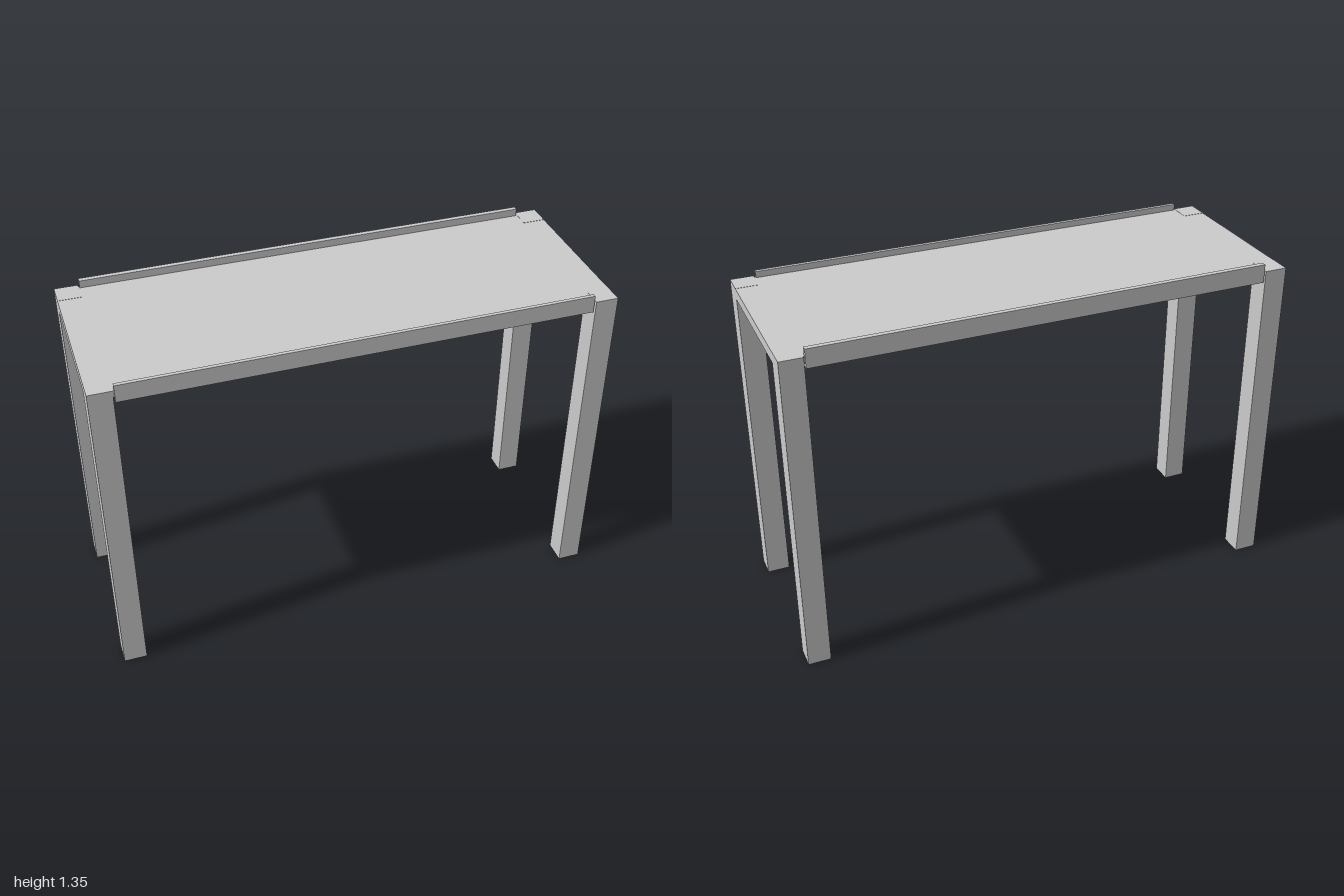
import * as THREE from 'three';

const material = new THREE.MeshStandardMaterial({ color: 0xcccccc, flatShading: true });

// Box given by its lower and upper limits on each axis
function box(name, [x0, x1], [y0, y1], [z0, z1]) {
  const mesh = new THREE.Mesh(new THREE.BoxGeometry(x1 - x0, y1 - y0, z1 - z0), material);
  mesh.position.set((x0 + x1) / 2, (y0 + y1) / 2, (z0 + z1) / 2);
  mesh.name = name;
  return mesh;
}

export function createModel() {
  const table = new THREE.Group();
  table.name = 'table';
  const top = 1.315, railBottom = 1.27;

  // Table top
  table.add(box('tableTop', [-0.995, 0.995], [1.288, top], [-0.355, 0.352]));

  // Square legs; the front right one sits slightly further back
  const legs = [
    ['frontLeftLeg', 0.91, 0.275],
    ['frontRightLeg', -1, 0.265],
    ['backLeftLeg', 0.91, -0.365],
    ['backRightLeg', -1, -0.365],
  ];
  for (const [name, x, z] of legs) {
    table.add(box(name, [x, x + 0.09], [0, top + 0.001], [z, z + 0.09]));
  }

  // Long rails, standing proud of the top as raised lips
  table.add(box('frontRail', [-0.905, 0.905], [railBottom, 1.34], [0.345, 0.36]));
  table.add(box('backRail', [-0.905, 0.905], [railBottom, 1.345], [-0.363, -0.343]));

  // End rails between the legs
  for (const side of [-1, 1]) {
    const x = side * 0.988;
    table.add(box(side > 0 ? 'leftEndRail' : 'rightEndRail',
      [x - 0.012, x + 0.012], [railBottom, top], [-0.276, 0.276]));
  }

  return table;
}
